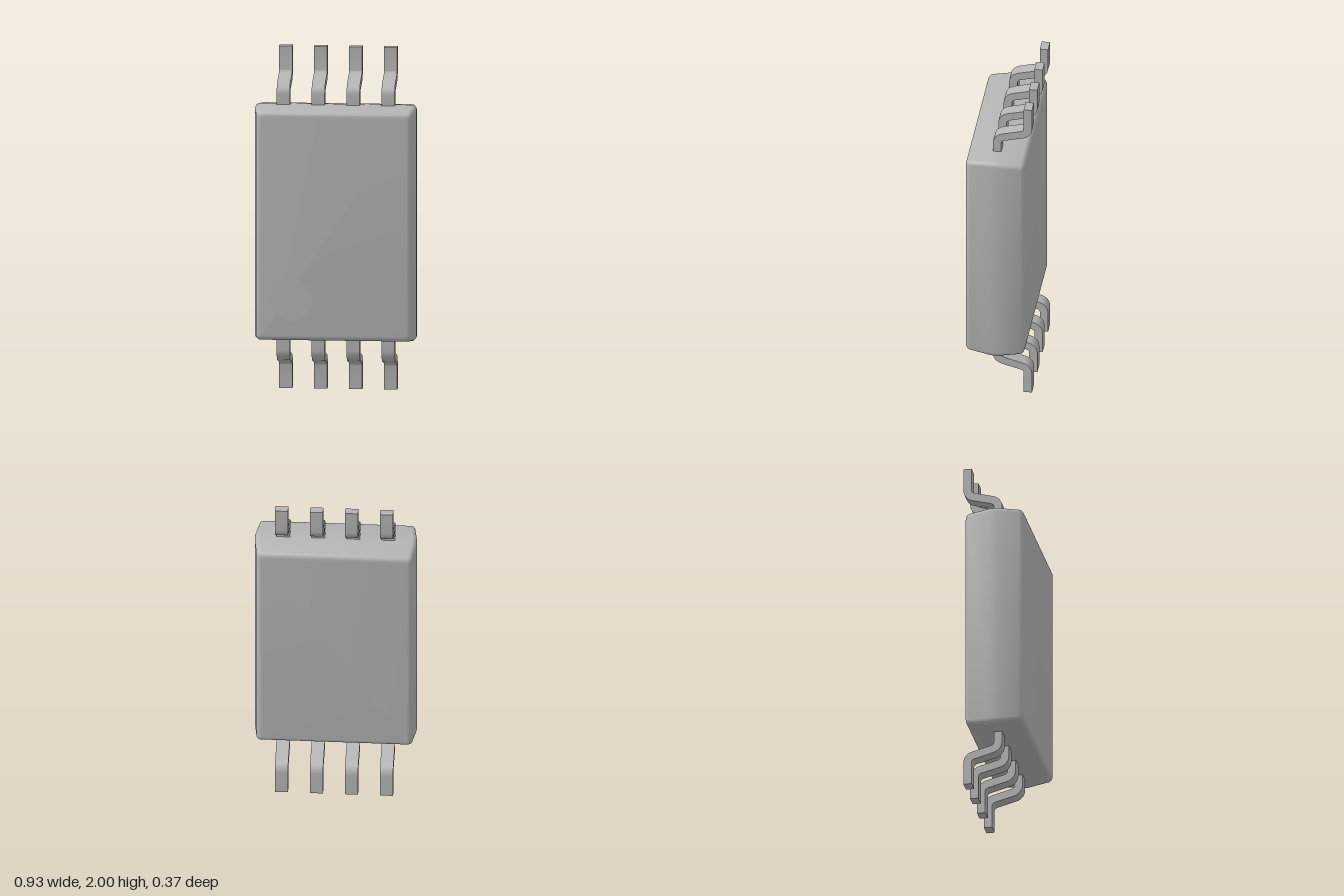
import * as THREE from 'three';
import { toCreasedNormals } from 'three/addons/utils/BufferGeometryUtils.js';

const grey = new THREE.MeshStandardMaterial({ color: 0xb4b4b4 });
grey.name = 'plain grey';

// Body: rounded rectangles stacked along z, each row [z, inset]
function bodyGeometry() {
  const halfW = 0.467, halfH = 0.686, seg = 6;
  const rows = [];
  // rounded rim from the flat back face into the sloped side
  const rim = (z, dir) => {
    for (let i = 0; i <= 6; i++) {
      const a = (i / 6) * 1.43;
      rows.push([z + dir * 0.03 * (1 - Math.cos(a)), 0.047 - 0.03 * Math.sin(a)]);
    }
  };
  rim(-0.157, 1);
  rows.push([-0.008, 0], [0.036, 0]);
  const back = rows.splice(0);
  rim(0.185, -1);
  const all = back.concat(rows.reverse());

  const pos = [], idx = [], n = 4 * (seg + 1);
  for (const [z, inset] of all) {
    const r = 0.03 - 0.35 * inset, w = halfW - inset - r, h = halfH - inset - r;
    for (let c = 0; c < 4; c++) {
      const sx = c === 0 || c === 3 ? 1 : -1, sy = c < 2 ? 1 : -1;
      for (let i = 0; i <= seg; i++) {
        const a = (c + i / seg) * Math.PI / 2;
        pos.push(sx * w + r * Math.cos(a), 1.002 + sy * h + r * Math.sin(a), z);
      }
    }
  }
  for (let j = 0; j < all.length - 1; j++) {
    for (let i = 0; i < n; i++) {
      const a = j * n + i, b = j * n + (i + 1) % n;
      idx.push(a, b, b + n, a, b + n, a + n);
    }
  }
  // flat back and front faces
  const last = (all.length - 1) * n;
  for (let i = 1; i < n - 1; i++) {
    idx.push(0, i + 1, i, last, last + i, last + i + 1);
  }
  const g = new THREE.BufferGeometry();
  g.setAttribute('position', new THREE.Float32BufferAttribute(pos, 3));
  g.setIndex(idx);
  return toCreasedNormals(g, 0.5);
}

// Lead: bent strip drawn in the z-y plane and extruded across x
function leadGeometry(side) {
  const t = 0.024, r = 0.045, width = 0.076, steps = 8;
  const A = new THREE.Vector2(0.016, 0.782), B = new THREE.Vector2(-0.163, 0.83);
  const turn = Math.atan2(A.x - B.x, B.y - A.y);
  const tan = r * Math.tan(turn / 2);
  const line = [[0.016, 0.66, 0]]; // z, height from the middle, heading
  for (let i = 0; i <= steps; i++) {
    const a = turn * i / steps;
    line.push([A.x - r * (1 - Math.cos(a)), A.y - tan + r * Math.sin(a), a]);
  }
  for (let i = steps; i >= 0; i--) {
    const a = turn * i / steps;
    line.push([B.x + r * (1 - Math.cos(a)), B.y + tan - r * Math.sin(a), a]);
  }
  line.push([B.x, 1, 0]);
  const edge = (d) => line.map(([z, y, a]) =>
    new THREE.Vector2(z + d * Math.cos(a), 1 + side * (y + d * Math.sin(a))));
  const shape = new THREE.Shape([...edge(t), ...edge(-t).reverse()]);
  const g = new THREE.ExtrudeGeometry(shape, { depth: width, bevelEnabled: false });
  g.translate(0, 0, -width / 2).rotateY(-Math.PI / 2);
  return toCreasedNormals(g, 0.5);
}

export function createModel() {
  const model = new THREE.Group();
  model.name = 'chipPackage';
  const add = (name, geometry, x = 0, y = 0, z = 0) => {
    const mesh = new THREE.Mesh(geometry, grey);
    mesh.name = name;
    mesh.position.set(x, y, z);
    model.add(mesh);
  };

  add('body', bodyGeometry());
  // round orientation mark on the front face
  add('orientationMark', new THREE.CircleGeometry(0.122, 48), -0.245, 0.57, 0.186);

  // four leads at each end
  for (const side of [1, -1]) {
    const geometry = leadGeometry(side);
    for (const x of [-0.303, -0.101, 0.101, 0.303]) {
      add(side > 0 ? 'topLead' : 'bottomLead', geometry, x);
    }
  }
  return model;
}
